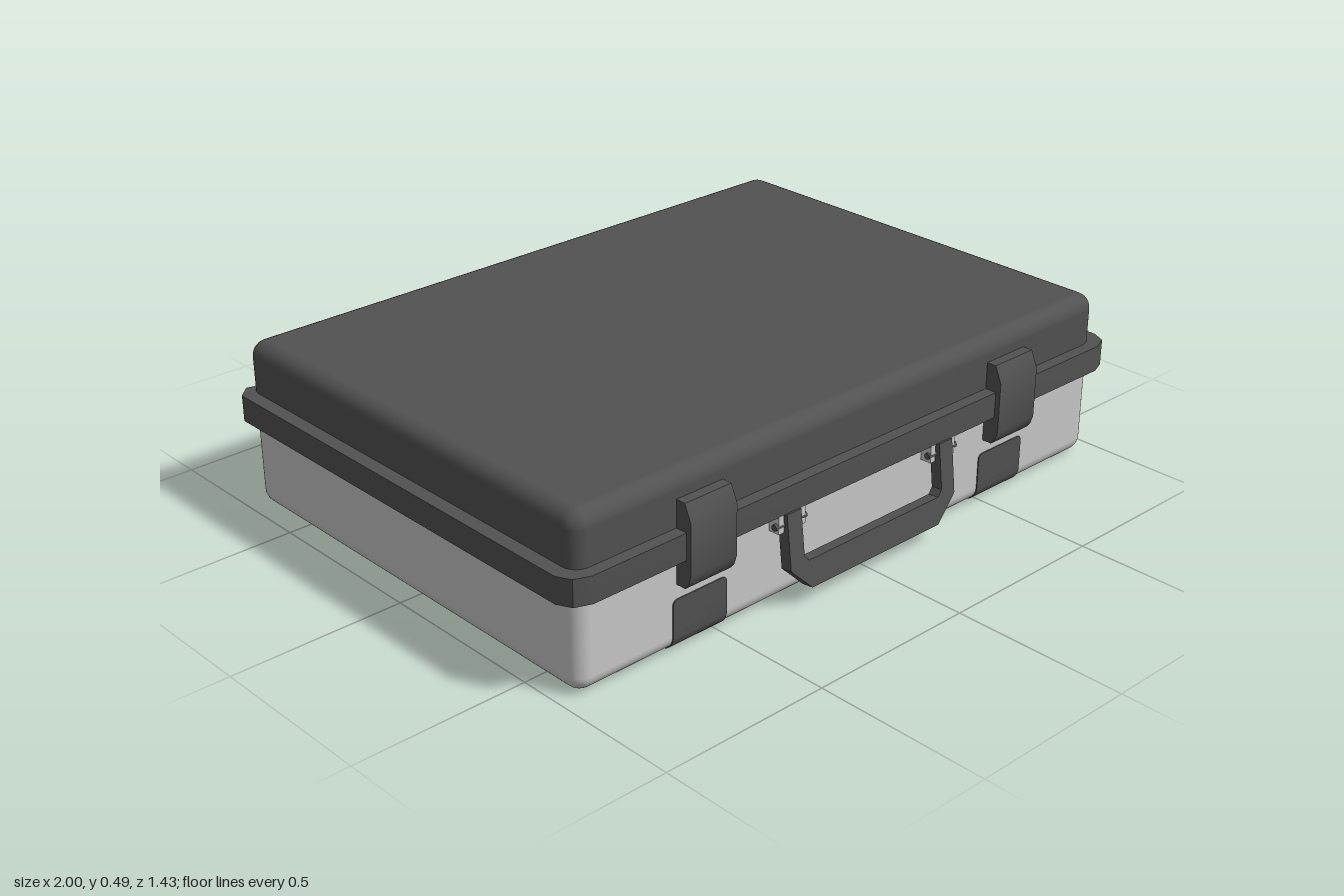
import * as THREE from 'three';
import { toCreasedNormals } from 'three/addons/utils/BufferGeometryUtils.js';
import { RoundedBoxGeometry } from 'three/addons/geometries/RoundedBoxGeometry.js';

const BACK = -0.705, FRONT = 0.648, SEAM = 0.27, TOP = 0.49, R = 0.045;

// Shape from a list of [x, y] points
function poly(points) {
  return new THREE.Shape(points.map(([x, y]) => new THREE.Vector2(x, y)));
}

// Extrude with smooth curves and sharp edges
function extrude(shape, depth) {
  const g = new THREE.ExtrudeGeometry(shape, { depth, bevelEnabled: false, curveSegments: 6 });
  return toCreasedNormals(g, 0.6);
}

// Extrude a (z, y) side profile across the width, centred on x = 0
function extrudeAcross(shape, width) {
  return extrude(shape, width).rotateY(-Math.PI / 2).translate(width / 2, 0, 0);
}

// Rounded case cut flat at the seam, keeping y between lo and hi
function halfShell(lo, hi) {
  const bottom = 0.003;
  const g = new RoundedBoxGeometry(1.92, TOP - bottom, FRONT - BACK, 4, R);
  g.translate(0, (TOP + bottom) / 2, (FRONT + BACK) / 2);
  const p = g.attributes.position;
  for (let i = 0; i < p.count; i++) p.setY(i, THREE.MathUtils.clamp(p.getY(i), lo, hi));
  return g;
}

// Front plate outline with rounded corners
function roundedRect(w, y0, y1, r) {
  const s = new THREE.Shape(), x = w / 2;
  s.moveTo(-x + r, y0);
  s.lineTo(x - r, y0);
  s.quadraticCurveTo(x, y0, x, y0 + r);
  s.lineTo(x, y1 - r);
  s.quadraticCurveTo(x, y1, x - r, y1);
  s.lineTo(-x + r, y1);
  s.quadraticCurveTo(-x, y1, -x, y1 - r);
  s.lineTo(-x, y0 + r);
  s.quadraticCurveTo(-x, y0, -x + r, y0);
  return s;
}

export function createModel() {
  const model = new THREE.Group();
  model.name = 'briefcase';
  const dark = new THREE.MeshStandardMaterial({ name: 'dark grey', color: 0x525252 });
  const light = new THREE.MeshStandardMaterial({ name: 'light grey', color: 0xc8c8c8 });

  function add(name, geometry, material, x = 0, y = 0, z = 0) {
    const mesh = new THREE.Mesh(geometry, material);
    mesh.name = name;
    mesh.position.set(x, y, z);
    model.add(mesh);
    return mesh;
  }

  // Case halves
  add('lowerShell', halfShell(0, SEAM), light);
  add('lid', halfShell(SEAM, TOP), dark);

  // Rim around the front and sides, open along the back
  const half = [[0.92, BACK + 0.003], [0.965, -0.715], [1, -0.68], [1, 0.625], [0.98, 0.665], [0.935, 0.683]];
  const outline = [...half, ...half.map(([x, z]) => [-x, z]).reverse()];
  const rim = extrude(poly(outline.map(([x, z]) => [x, -z])), 0.075).rotateX(-Math.PI / 2);
  add('rim', rim, dark, 0, SEAM, 0);

  // Band running under the case
  const f = FRONT + 0.003, b = BACK - 0.003, r = R + 0.003;
  const band = new THREE.Shape();
  band.moveTo(b, 0.12);
  band.lineTo(b, r);
  band.absarc(b + r, r, r, Math.PI, Math.PI * 1.5, false);
  band.lineTo(f - r, 0);
  band.absarc(f - r, r, r, Math.PI * 1.5, Math.PI * 2, false);
  band.lineTo(f, 0.12);

  // Latch side profile
  const latch = poly([
    [0.63, 0.19], [0.678, 0.19], [0.69, 0.205], [0.698, 0.23],
    [0.698, 0.375], [0.677, 0.422], [0.63, 0.422],
  ]);

  // Hinge tab with flared top
  const tab = new THREE.Shape();
  tab.moveTo(-0.095, 0.275);
  tab.quadraticCurveTo(-0.072, 0.27, -0.072, 0.25);
  tab.lineTo(-0.072, 0.215);
  tab.quadraticCurveTo(-0.072, 0.2, -0.057, 0.2);
  tab.lineTo(0.057, 0.2);
  tab.quadraticCurveTo(0.072, 0.2, 0.072, 0.215);
  tab.lineTo(0.072, 0.25);
  tab.quadraticCurveTo(0.072, 0.27, 0.095, 0.275);

  for (const [side, s] of [['left', 1], ['right', -1]]) {
    const x = 0.567 * s;
    add(side + 'BottomBand', extrudeAcross(band, 0.18), dark, x);
    const bandEnd = extrude(roundedRect(0.18, 0.06, 0.15, 0.018), 0.006);
    add(side + 'BandFrontEnd', bandEnd, dark, x, 0, f - 0.006);
    add(side + 'BandBackEnd', bandEnd, dark, x, 0, b);
    add(side + 'Latch', extrudeAcross(latch, 0.152), dark, x);
    add(side + 'HingeTab', extrude(tab, 0.006), dark, x, 0, b);

    // Lugs either side of the handle arm, with a pin through them
    for (const [place, lx] of [['Inner', 0.245], ['Outer', 0.322]]) {
      add(side + place + 'Lug', new THREE.BoxGeometry(0.018, 0.05, 0.04), light, lx * s, 0.245, 0.662);
    }
    const pin = new THREE.CylinderGeometry(0.009, 0.009, 0.11, 12).rotateZ(Math.PI / 2);
    add(side + 'HandlePin', pin, dark, 0.285 * s, 0.24, 0.674);
  }

  // Carrying handle, hung from the pins and tilted outwards
  const handle = poly([
    [-0.31, 0], [-0.31, -0.155], [-0.24, -0.225], [0.24, -0.225], [0.31, -0.155], [0.31, 0],
    [0.26, 0], [0.26, -0.13], [0.245, -0.147], [-0.245, -0.147], [-0.26, -0.13], [-0.26, 0],
  ]);
  const grip = add('handle', extrude(handle, 0.034), dark, 0, 0.268, 0.656);
  grip.rotation.x = -0.12;

  return model;
}
